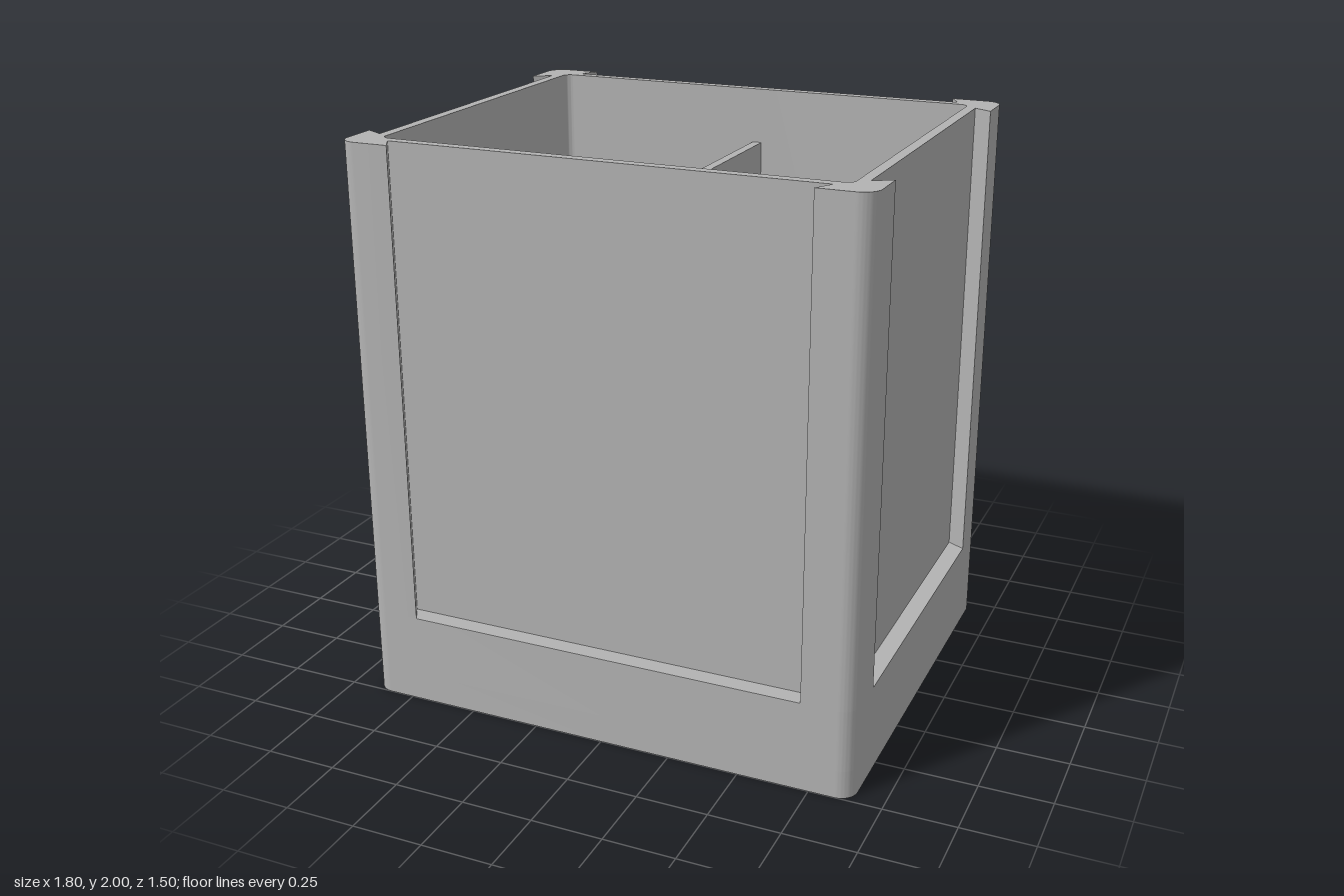
import * as THREE from 'three';
import { toCreasedNormals } from 'three/addons/utils/BufferGeometryUtils.js';

const W = 0.9, D = 0.75, R = 0.06;           // outer half width, half depth, corner radius
const IW = 0.8, ID = 0.65, IR = 0.03;        // cavity half width, half depth, corner radius
const FLOOR = 0.1, SLOT = 0.32, TOP = 2;     // floor top, slot bottom, rim height

// Rounded rectangle; with slots, every side gets a dovetail groove
function outline(target, w, d, r, slots = false) {
  const sx = 0.715, sz = 0.565, depth = 0.063, flare = 0.036;
  const grooves = [
    [[w, -sz], [w - depth, -sz - flare], [w - depth, sz + flare], [w, sz]],
    [[sx, d], [sx + flare, d - depth], [-sx - flare, d - depth], [-sx, d]],
    [[-w, sz], [-w + depth, sz + flare], [-w + depth, -sz - flare], [-w, -sz]],
    [[-sx, -d], [-sx - flare, -d + depth], [sx + flare, -d + depth], [sx, -d]],
  ];
  const corners = [[1, 1], [-1, 1], [-1, -1], [1, -1]];
  target.moveTo(w, -d + r);
  corners.forEach(([cx, cy], i) => {
    if (slots) grooves[i].forEach(([x, y]) => target.lineTo(x, y));
    target.absarc(cx * (w - r), cy * (d - r), r, i * Math.PI / 2, (i + 1) * Math.PI / 2, false);
  });
  return target;
}

function layer(name, y0, y1, material, { hollow = false, slots = false } = {}) {
  const shape = outline(new THREE.Shape(), W, D, R, slots);
  if (hollow) shape.holes.push(outline(new THREE.Path(), IW, ID, IR));
  const geometry = new THREE.ExtrudeGeometry(shape, { depth: y1 - y0, bevelEnabled: false, curveSegments: 8 });
  geometry.rotateX(-Math.PI / 2).translate(0, y0, 0);
  const mesh = new THREE.Mesh(toCreasedNormals(geometry, 0.45), material);
  mesh.name = name;
  return mesh;
}

export function createModel() {
  const group = new THREE.Group();
  group.name = 'dividedHolder';
  const grey = new THREE.MeshStandardMaterial({ color: 0xb3b3b3 });
  grey.name = 'grey';

  // Solid floor, plain lower wall, then the wall with dovetail panel slots
  group.add(layer('floor', 0, FLOOR, grey));
  group.add(layer('lowerWall', FLOOR, SLOT, grey, { hollow: true }));
  group.add(layer('slottedWall', SLOT, TOP, grey, { hollow: true, slots: true }));

  // Thin partition, ending below the rim
  const height = 1.8 - FLOOR;
  const divider = new THREE.Mesh(new THREE.BoxGeometry(0.034, height, 2 * ID), grey);
  divider.position.y = FLOOR + height / 2;
  divider.name = 'divider';
  group.add(divider);

  return group;
}
